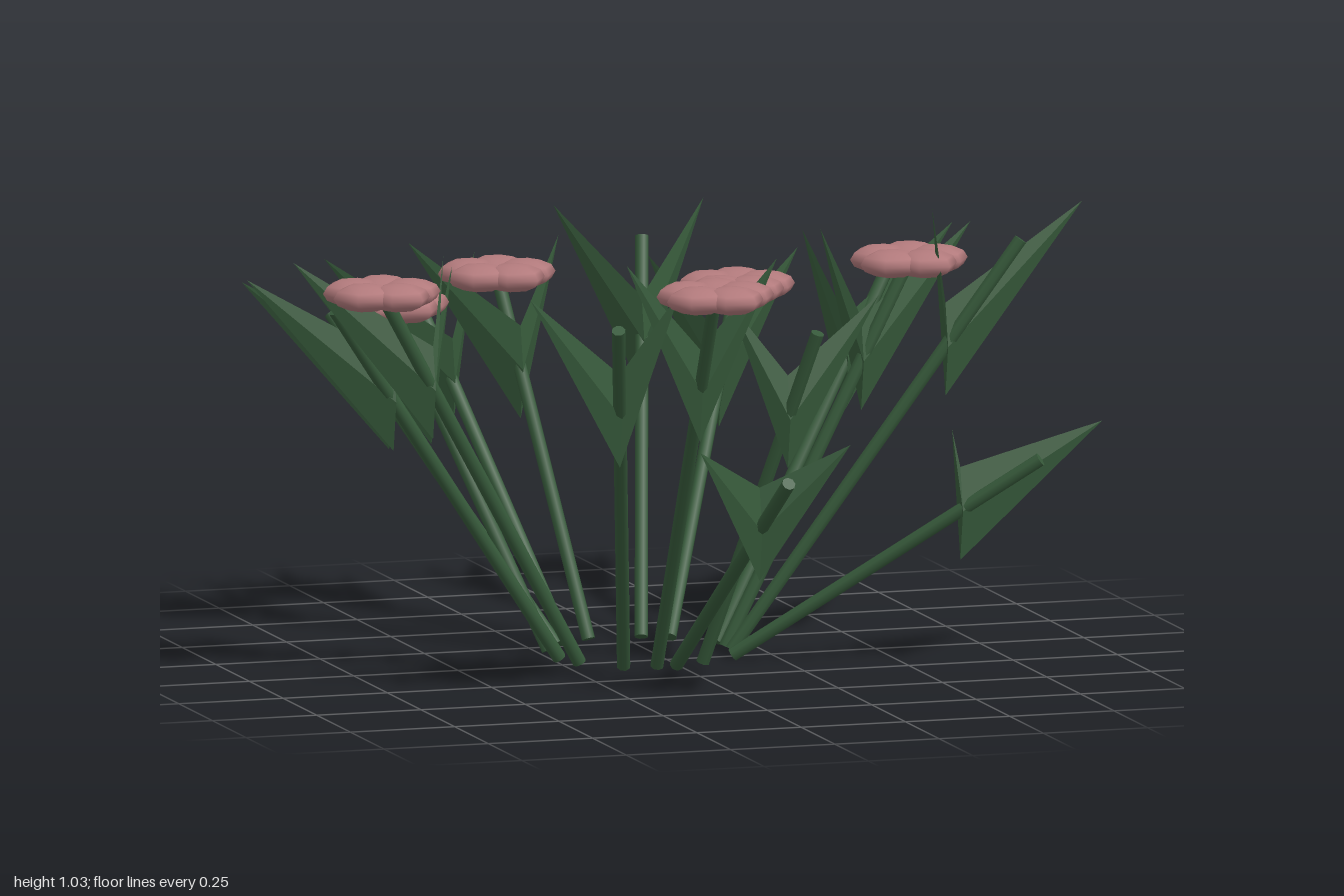
import * as THREE from 'three';

const green = new THREE.MeshStandardMaterial({ color: 0x36593a, side: THREE.DoubleSide });
green.name = 'leafGreen';
const pink = new THREE.MeshStandardMaterial({ color: 0xb27a7c });
pink.name = 'petalPink';

// Each plant: base x, base z, top x, top y, top z, has a flower
const PLANTS = [
  [0.16, -0.13, 0.66, 0.83, -0.38, false],
  [0.16, -0.06, 0.60, 0.885, -0.06, true],
  [0.16, -0.015, 0.81, 0.95, 0.12, false],
  [0.14, 0.055, 0.78, 0.48, 0.36, false],
  [0.045, 0.13, 0.225, 0.81, 0.425, false],
  [-0.025, 0.15, 0.035, 0.53, 0.80, false],
  [-0.07, 0.145, -0.13, 0.965, 0.765, true],
  [-0.145, 0.13, -0.365, 0.90, 0.775, false],
  [-0.225, 0.05, -0.757, 0.92, 0.23, true],
  [-0.25, -0.02, -0.82, 0.86, 0.08, false],
  [-0.24, -0.135, -0.525, 0.78, -0.425, true],
  [-0.20, -0.20, -0.58, 0.72, -0.70, false],
  [-0.17, -0.225, -0.355, 0.75, -0.785, false],
  [-0.105, -0.255, -0.225, 0.815, -0.565, true],
  [0.02, -0.25, 0.16, 0.865, -0.68, false],
  [0.08, -0.225, 0.415, 0.723, -0.77, true],
];

// Straight stem between two points
function makeStem(a, b) {
  const dir = b.clone().sub(a);
  const stem = new THREE.Mesh(new THREE.CylinderGeometry(0.016, 0.016, dir.length(), 8), green);
  stem.position.copy(a).add(b).multiplyScalar(0.5);
  stem.quaternion.setFromUnitVectors(new THREE.Vector3(0, 1, 0), dir.normalize());
  stem.name = 'stem';
  return stem;
}

// Thin pyramid: tall diamond at the stem, tapering to a point
function makeLeaf(anchor, tip, side) {
  const ring = [[0, 0.1, 0], [0, 0, 0.02], [0, -0.115, 0], [0, 0, -0.02]]
    .map(p => new THREE.Vector3(...p).add(anchor));
  const pts = [];
  for (let i = 0; i < 4; i++) {
    const a = ring[i], b = ring[(i + 1) % 4];
    pts.push(...(side > 0 ? [b, a, tip] : [a, b, tip]));
    pts.push(...(side > 0 ? [a, b, anchor] : [b, a, anchor]));
  }
  const geo = new THREE.BufferGeometry().setFromPoints(pts);
  geo.computeVertexNormals();
  const leaf = new THREE.Mesh(geo, green);
  leaf.name = side > 0 ? 'leftLeaf' : 'rightLeaf';
  return leaf;
}

// Five flattened six-sided petals around the centre
const petalGeo = new THREE.SphereGeometry(0.075, 6, 6).scale(1, 0.43, 1);
function makeFlower(centre) {
  const flower = new THREE.Group();
  flower.name = 'flower';
  for (let i = 0; i < 5; i++) {
    const a = (i / 5) * Math.PI * 2;
    const petal = new THREE.Mesh(petalGeo, pink);
    petal.position.set(Math.cos(a) * 0.066, 0, Math.sin(a) * 0.066);
    petal.name = 'petal';
    flower.add(petal);
  }
  flower.position.copy(centre);
  return flower;
}

export function createModel() {
  const model = new THREE.Group();
  model.name = 'flowerClump';
  for (const [bx, bz, x, y, z, flowering] of PLANTS) {
    const plant = new THREE.Group();
    plant.name = flowering ? 'floweringPlant' : 'leafyPlant';
    const base = new THREE.Vector3(bx, 0.013, bz);
    const top = new THREE.Vector3(x, y, z);
    plant.add(makeStem(base, top));

    // A pair of leaves starting three quarters up the stem
    const anchor = base.clone().lerp(top, 0.74);
    for (const side of [1, -1]) {
      const tip = new THREE.Vector3(x + side * 0.18, y + 0.065, z - 0.1);
      plant.add(makeLeaf(anchor, tip, side));
    }
    if (flowering) plant.add(makeFlower(top));
    model.add(plant);
  }
  return model;
}
